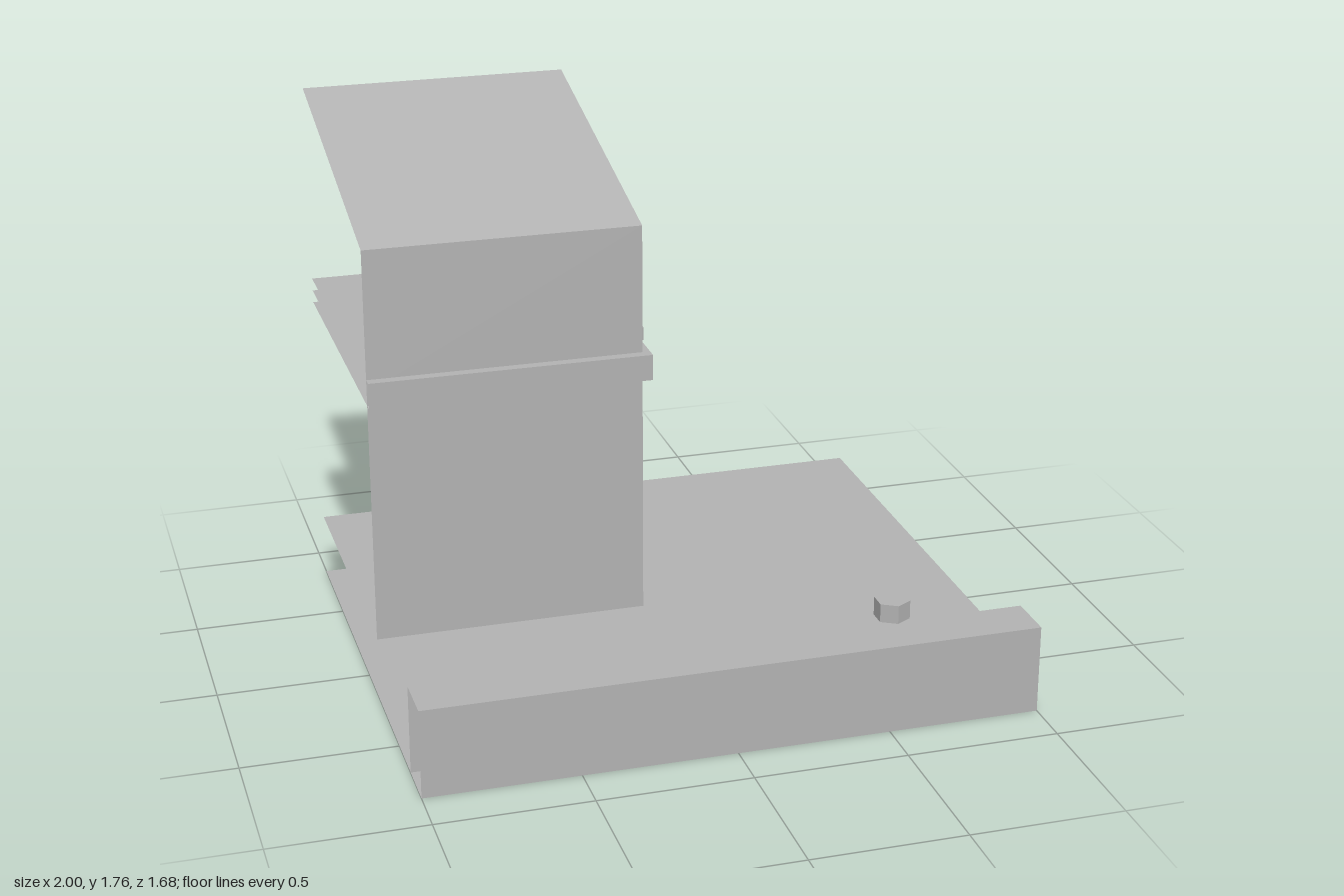
import * as THREE from 'three';

// Box sides in the order BoxGeometry stores them
const SIDES = ['right', 'left', 'top', 'bottom', 'front', 'back'];

export function createModel() {
  const model = new THREE.Group();
  model.name = 'quarterPress';
  const grey = new THREE.MeshStandardMaterial({ color: 0xb3b3b3, flatShading: true, side: THREE.DoubleSide });
  grey.name = 'grey';

  const add = (name, geometry, x, y, z) => {
    const mesh = new THREE.Mesh(geometry, grey);
    mesh.name = name;
    mesh.position.set(x, y, z);
    model.add(mesh);
    return mesh;
  };

  // Thin shell that keeps only the listed sides of a box
  const shell = (name, [x0, x1], [y0, y1], [z0, z1], keep) => {
    const geo = new THREE.BoxGeometry(x1 - x0, y1 - y0, z1 - z0);
    const all = Array.from(geo.index.array);
    geo.setIndex(keep.flatMap((side) => {
      const start = SIDES.indexOf(side) * 6;
      return all.slice(start, start + 6);
    }));
    geo.clearGroups();
    return add(name, geo, (x0 + x1) / 2, (y0 + y1) / 2, (z0 + z1) / 2);
  };

  const hexBolt = (name, r, h, x, y, z) =>
    add(name, new THREE.CylinderGeometry(r, r, h, 6), x, y + h / 2, z);

  const BACK = -0.84;

  // Base, cut open on the two section planes (left edge and back)
  shell('basePlate', [-1, 0.93], [0, 0.21], [BACK, 0.675], ['right', 'top', 'bottom']);
  shell('frontBeam', [-1, 1], [0, 0.295], [0.675, 0.84], ['right', 'top', 'bottom', 'front', 'back']);
  hexBolt('baseBolt', 0.058, 0.062, 0.575, 0.295, 0.632);

  // Tower in two halves, the upper one with a sloping roof
  const tower = [[-1, -0.115], [BACK, 0.167]];
  shell('lowerTower', tower[0], [0.21, 1.055], tower[1], ['right', 'top', 'front']);
  const upper = shell('upperTower', tower[0], [1.055, 1.765], tower[1], ['right', 'top', 'front']);
  const pos = upper.geometry.attributes.position;
  for (let i = 0; i < pos.count; i++) {
    if (pos.getY(i) > 0 && pos.getZ(i) > 0) pos.setY(i, pos.getY(i) - 0.247);
  }
  upper.geometry.computeVertexNormals();

  // Flange around the joint, with its bolts
  shell('flange', [-1, -0.09], [1.013, 1.098], [BACK, 0.2], ['right', 'top', 'bottom', 'front']);
  for (const z of [0.042, -0.52]) hexBolt('flangeBolt', 0.031, 0.042, -0.107, 1.098, z);

  // Round hinge disc and its nut on the tower's side
  const disc = add('hingeDisc', new THREE.CylinderGeometry(0.157, 0.157, 0.07, 24), -0.08, 1.055, -0.59);
  const nut = add('hingeNut', new THREE.CylinderGeometry(0.046, 0.046, 0.026, 6), -0.032, 1.055, -0.59);
  for (const part of [disc, nut]) part.rotation.z = -Math.PI / 2;

  return model;
}
